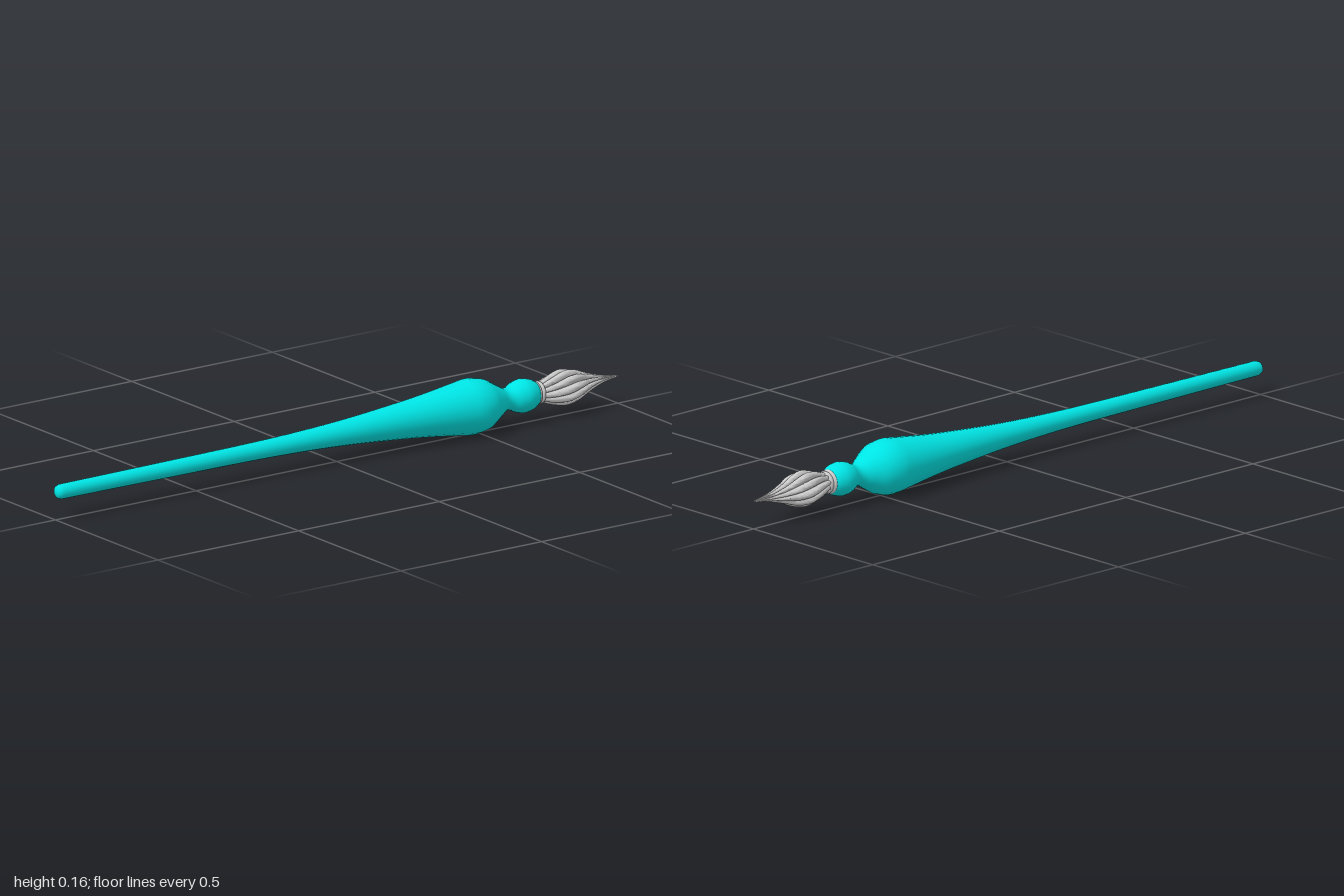
import * as THREE from 'three';
import { toCreasedNormals } from 'three/addons/utils/BufferGeometryUtils.js';

const SIDES = 20;
const RIBS = 10;

// Smooth curve through [radius, height] points
function profile(points, divisions) {
  const curve = new THREE.SplineCurve(points.map(([r, h]) => new THREE.Vector2(r, h)));
  return curve.getPoints(divisions).map((p) => new THREE.Vector2(Math.max(p.x, 0), p.y));
}

// Radius at height h, by smooth interpolation between [radius, height] points
function radiusAt(samples, h) {
  for (let i = 1; i < samples.length; i++) {
    const a = samples[i - 1], b = samples[i];
    if (h <= b.y) return THREE.MathUtils.mapLinear(h, a.y, b.y, a.x, b.x);
  }
  return samples[samples.length - 1].x;
}

// Ribbed cone: a tube pushed into rounded lobes with sharp grooves, twisted towards the tip
function nibGeometry() {
  const start = 0.712, end = 1, twist = 1.25;
  const samples = profile([
    [0.028, start], [0.033, 0.73], [0.045, 0.765], [0.053, 0.805], [0.046, 0.845],
    [0.032, 0.88], [0.02, 0.915], [0.011, 0.95], [0.002, end],
  ], 60);
  const geometry = new THREE.CylinderGeometry(1, 1, 1, RIBS * 8, 36, true);
  const pos = geometry.attributes.position;
  for (let i = 0; i < pos.count; i++) {
    const t = pos.getY(i) + 0.5;
    const angle = Math.atan2(pos.getZ(i), pos.getX(i));
    const h = THREE.MathUtils.lerp(start, end, t);
    const lobe = Math.abs(Math.sin((angle * RIBS) / 2));
    const r = radiusAt(samples, h) * (0.7 + 0.3 * Math.sqrt(lobe));
    const a = angle + twist * t;
    pos.setXYZ(i, r * Math.cos(a), h, r * Math.sin(a));
  }
  return toCreasedNormals(geometry, 0.7);
}

export function createModel() {
  const pen = new THREE.Group();
  pen.name = 'dipPen';
  const teal = new THREE.MeshStandardMaterial({ color: 0x00e5e5 });
  const grey = new THREE.MeshStandardMaterial({ color: 0xcccccc });

  // Everything is turned about +y, then laid down with the tip towards -z
  const add = (name, geometry, material) => {
    const mesh = new THREE.Mesh(geometry, material);
    mesh.name = name;
    pen.add(mesh);
    return mesh;
  };

  // Long tapering shaft, swelling into the grip, then a neck and a small ball
  const shaft = profile([
    [0.022, -0.982], [0.024, -0.6], [0.027, -0.25], [0.036, 0], [0.051, 0.2],
    [0.063, 0.32], [0.076, 0.42], [0.082, 0.475], [0.074, 0.52], [0.052, 0.56],
    [0.035, 0.59], [0.034, 0.61], [0.045, 0.634], [0.05, 0.662], [0.043, 0.69], [0.03, 0.71],
  ], 90);
  const butt = [[0, -1], [0.011, -0.998], [0.018, -0.993]].map(([r, h]) => new THREE.Vector2(r, h));
  add('handle', new THREE.LatheGeometry([...butt, ...shaft, new THREE.Vector2(0, 0.713)], SIDES), teal);

  // Two thin rings where the nib meets the ball
  [[0.703, 0.028], [0.717, 0.026]].forEach(([h, r]) => {
    const ring = new THREE.TorusGeometry(r, 0.008, 10, 32);
    ring.rotateX(Math.PI / 2);
    add('collarRing', ring, grey).position.y = h;
  });

  add('nib', nibGeometry(), grey);

  pen.rotation.x = -Math.PI / 2;
  pen.position.y = 0.082;
  const model = new THREE.Group();
  model.name = 'pen';
  model.add(pen);
  return model;
}
